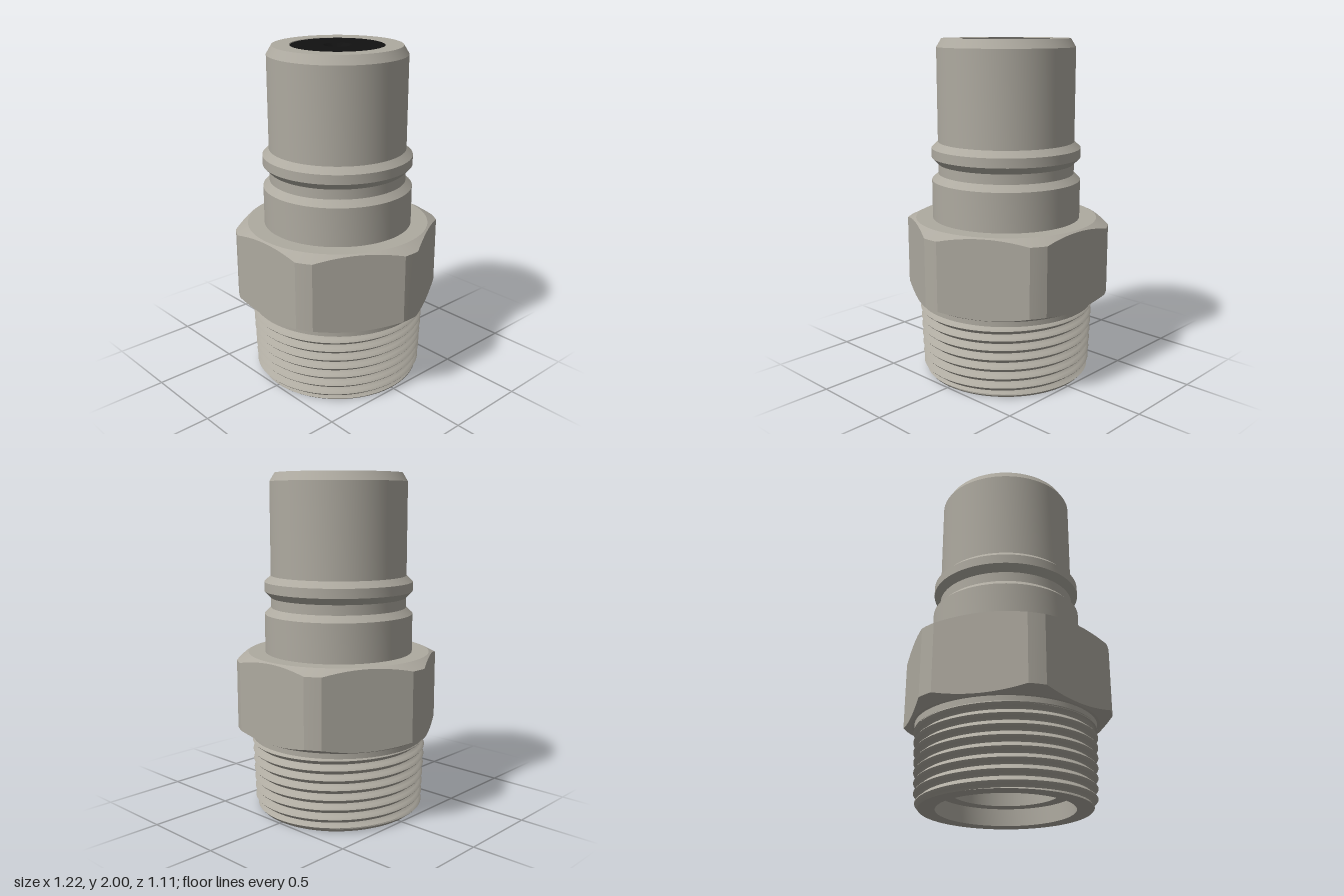
import * as THREE from 'three';
import { toCreasedNormals } from 'three/addons/utils/BufferGeometryUtils.js';

const TAU = Math.PI * 2;
const steel = new THREE.MeshStandardMaterial({ color: 0xaeaaa0 });
const black = new THREE.MeshStandardMaterial({ color: 0x111111 });

function lathe(name, points, material) {
  const geo = new THREE.LatheGeometry(points.map(([r, y]) => new THREE.Vector2(r, y)), 72);
  const mesh = new THREE.Mesh(toCreasedNormals(geo, 0.35), material);
  mesh.name = name;
  return mesh;
}

// Skin over closed rings of points; rings run upward, angle runs anticlockwise from above
function skin(name, angles, rows, pointAt, crease) {
  const pos = [], index = [], n = angles.length;
  for (let j = 0; j < rows; j++) {
    for (const a of angles) {
      const [r, y] = pointAt(j, a);
      pos.push(r * Math.cos(a), y, -r * Math.sin(a));
    }
  }
  for (let j = 0; j < rows - 1; j++) {
    for (let i = 0; i < n - 1; i++) {
      const a = j * n + i, b = a + 1, c = a + n, d = c + 1;
      index.push(a, b, d, a, d, c);
    }
  }
  const geo = new THREE.BufferGeometry();
  geo.setAttribute('position', new THREE.Float32BufferAttribute(pos, 3));
  geo.setIndex(index);
  const mesh = new THREE.Mesh(toCreasedNormals(geo, crease), steel);
  mesh.name = name;
  return mesh;
}

// Hexagon with rounded-off corners and conical chamfers above and below
function hexNut() {
  const flat = 0.553, corner = 0.612, bottom = 0.477, top = 0.955, face = 0.54;
  const half = Math.acos(flat / corner); // half angle of one flat
  const angles = [];
  for (let s = 0; s < 6; s++) {
    const mid = Math.PI / 6 + s * Math.PI / 3;
    for (let i = 0; i <= 12; i++) angles.push(mid - half + (2 * half * i) / 12);
    const gap = Math.PI / 3 - 2 * half;
    for (let i = 1; i < 3; i++) angles.push(mid + half + (gap * i) / 3);
  }
  angles.push(angles[0] + TAU);
  const radius = (a) => {
    const sector = Math.PI / 3;
    const local = ((a % sector) + sector) % sector - Math.PI / 6;
    return Math.min(corner, flat / Math.cos(local));
  };
  return skin('hexNut', angles, 6, (j, a) => {
    const r = radius(a), drop = (r - face) * 0.5;
    return [[0.4, bottom], [face, bottom], [r, bottom + drop],
      [r, top - drop], [face, top], [0.4, top]][j];
  }, 0.3);
}

// Tapered right-hand screw thread, its rows following the helix
function thread() {
  const pitch = 0.058, depth = 0.034, end = 0.447, steps = 8;
  const angles = Array.from({ length: 97 }, (_, i) => (i / 96) * TAU);
  const rows = steps * 9 + 4;
  return skin('thread', angles, rows, (j, a) => {
    const turn = j / steps - 1 + a / TAU;
    const y = THREE.MathUtils.clamp(turn * pitch, 0, end);
    const phase = y / pitch - (turn * pitch === y ? Math.floor(turn - a / TAU + 1e-6) + a / TAU : a / TAU);
    const saw = Math.abs(2 * (phase - Math.floor(phase)) - 1); // 1 at crest, 0 at root
    const profile = THREE.MathUtils.clamp(saw * 1.3 - 0.15, 0, 1);
    const crest = 0.508 + 0.04 * y;
    return [Math.min(crest - depth * (1 - profile), 0.482 + y * 0.9), y];
  }, 0.5);
}

export function createModel() {
  const group = new THREE.Group();
  group.name = 'threadedCoupling';

  // Spigot with collar and locking groove, then the bore down to the counterbored end
  group.add(lathe('spigotAndBore', [
    [0.44, 0.94], [0.44, 1.183], [0.402, 1.22], [0.402, 1.278], [0.44, 1.317],
    [0.44, 1.372], [0.402, 1.408], [0.402, 1.95], [0.372, 2], [0.272, 2],
    [0.268, 1.992], [0.268, 1.45], [0.31, 1.4], [0.31, 0.1], [0.39, 0.1], [0.39, 0], [0.484, 0],
  ], steel));
  group.add(hexNut());
  group.add(thread());

  // Plain run-out between thread and nut
  group.add(lathe('threadRunout', [[0.46, 0.44], [0.522, 0.44], [0.522, 0.48]], steel));

  // Valve plug filling the mouth, with a small centre dimple
  group.add(lathe('valvePlug', [
    [0, 1.5], [0.267, 1.5], [0.267, 1.997], [0.08, 1.997], [0.045, 1.975], [0, 1.97],
  ], black));
  return group;
}
